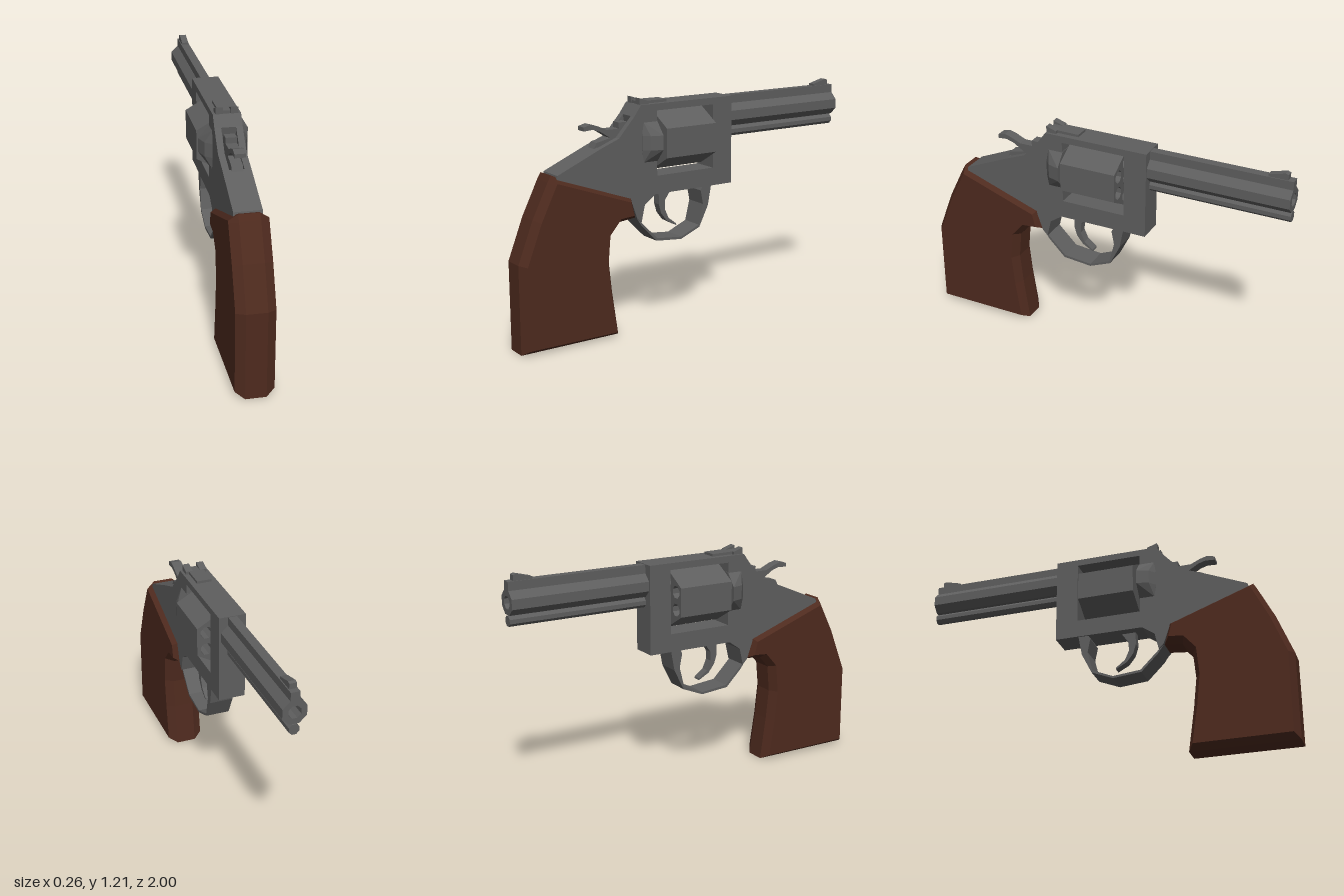
import * as THREE from 'three';
import { ConvexGeometry } from 'three/addons/geometries/ConvexGeometry.js';

const metal = new THREE.MeshStandardMaterial({ color: 0x5e5e5e, flatShading: true });
const wood = new THREE.MeshStandardMaterial({ color: 0x4e2a1e, flatShading: true });

const toPoints = (list) => list.map(([a, b]) => new THREE.Vector2(a, b));

// Regular polygon outline around (x, y)
function ring(x, y, r, sides, start = 0) {
  return Array.from({ length: sides }, (_, i) => {
    const a = start + (i / sides) * Math.PI * 2;
    return [x + Math.cos(a) * r, y + Math.sin(a) * r];
  });
}

function makeShape(outline, holes = []) {
  const shape = new THREE.Shape(toPoints(outline));
  holes.forEach((h) => shape.holes.push(new THREE.Path(toPoints(h))));
  return shape;
}

// Side profile in (z, y), given a width across x and centred on x
function plate(outline, width, x = 0, holes = []) {
  const geo = new THREE.ExtrudeGeometry(makeShape(outline, holes), { depth: width, bevelEnabled: false });
  return geo.translate(0, 0, -width / 2).rotateY(-Math.PI / 2).translate(x, 0, 0);
}

// Cross-section in (x, y), run along z
function bar(outline, z0, z1, holes = []) {
  const geo = new THREE.ExtrudeGeometry(makeShape(outline, holes), { depth: z1 - z0, bevelEnabled: false });
  return geo.translate(0, 0, z0);
}

export function createModel() {
  const model = new THREE.Group();
  model.name = 'revolver';
  const add = (name, geo, mat = metal) => {
    const mesh = new THREE.Mesh(geo, mat);
    mesh.name = name;
    model.add(mesh);
    return mesh;
  };

  // Frame: two side plates and a core that is cut back for the hammer slot
  const belly = [[0.79, 0.845], [0.366, 0.69], [0.334, 0.6], [0.307, 0.573], [0.286, 0.664], [0.22, 0.71], [-0.26, 0.71], [-0.26, 1.175]];
  const tail = [[0.54, 0.98], [0.785, 0.875]];
  const cylinderWindow = [[-0.14, 0.805], [0.21, 0.805], [0.21, 1.14], [-0.14, 1.14]];
  const side = [[0.305, 1.175], [0.345, 1.12], [0.435, 1.02], ...tail, ...belly];
  const core = [[0.305, 1.175], [0.345, 1.12], [0.33, 1.03], [0.49, 0.95], ...tail, ...belly];
  for (const s of [-1, 1]) add('frameSide', plate(side, 0.033, s * 0.0535, [cylinderWindow]));
  add('frameCore', plate(core, 0.074, 0, [cylinderWindow]));

  // Recoil shield flaring out behind the cylinder
  const shield = [];
  for (const s of [-1, 1]) {
    for (const [w, z] of [[0.125, 0.207], [0.105, 0.27], [0.072, 0.3]]) {
      for (const y of [0.947, 1.02]) shield.push(new THREE.Vector3(s * w, y, z));
    }
    for (const z of [0.207, 0.29]) {
      for (const y of [0.88, 1.088]) shield.push(new THREE.Vector3(s * 0.068, y, z));
    }
  }
  add('recoilShield', new ConvexGeometry(shield));

  // Six-sided cylinder with open chambers and a closed rear
  const hex = ring(0, 0.978, 0.151, 6, Math.PI / 2);
  const chambers = ring(0, 0.978, 0.093, 6, Math.PI / 2).map(([x, y]) => ring(x, y, 0.034, 8, Math.PI / 8));
  add('cylinder', bar(hex, -0.115, 0.16, chambers));
  add('cylinderRear', bar(hex, 0.16, 0.19));
  add('cylinderPin', bar(ring(0, 0.978, 0.028, 8, Math.PI / 8), -0.15, 0.22));

  // Octagonal barrel with bore, top rib and ejector rod
  add('barrel', bar(ring(0, 1.068, 0.065, 8, Math.PI / 8), -1, -0.255, [ring(0, 1.068, 0.034, 8, Math.PI / 8)]));
  add('boreEnd', bar(ring(0, 1.068, 0.04, 8, Math.PI / 8), -0.5, -0.48));
  add('barrelRib', bar([[-0.023, 1.12], [0.023, 1.12], [0.023, 1.172], [-0.023, 1.172]], -1, -0.255));
  add('ejectorRod', bar(ring(0, 0.977, 0.028, 8, Math.PI / 8), -1, -0.255));

  // Sights
  add('frontSight', plate([[-0.87, 1.165], [-0.87, 1.183], [-0.955, 1.205], [-0.97, 1.2], [-0.97, 1.165]], 0.036));
  add('rearSightBase', plate([[0.13, 1.17], [0.13, 1.188], [0.3, 1.19], [0.3, 1.17]], 0.08));
  for (const s of [-1, 1]) {
    add('rearSightPost', plate([[0.25, 1.175], [0.25, 1.19], [0.305, 1.208], [0.305, 1.175]], 0.037, s * 0.038));
  }

  // Hammer with curved spur
  add('hammer', plate([
    [0.33, 1.02], [0.36, 1.092], [0.41, 1.092], [0.41, 1.062], [0.48, 1.062], [0.53, 1.085], [0.57, 1.097], [0.61, 1.087],
    [0.61, 1.067], [0.56, 1.07], [0.52, 1.058], [0.46, 1.02], [0.54, 1.003], [0.555, 0.975], [0.49, 0.945],
  ], 0.056));

  // Trigger guard and trigger
  add('triggerGuard', plate([
    [0.334, 0.6], [0.3, 0.55], [0.21, 0.46], [0.056, 0.446], [-0.06, 0.494], [-0.115, 0.605], [-0.135, 0.712], [-0.08, 0.712],
    [-0.068, 0.69], [-0.083, 0.615], [-0.056, 0.506], [0.056, 0.458], [0.206, 0.473], [0.307, 0.574],
  ], 0.125));
  add('trigger', plate([
    [0.17, 0.715], [0.17, 0.64], [0.155, 0.59], [0.12, 0.545], [0.06, 0.513], [0.062, 0.523],
    [0.11, 0.56], [0.132, 0.61], [0.13, 0.66], [0.09, 0.715],
  ], 0.045));

  // Grip with chamfered edges
  const grip = new THREE.ExtrudeGeometry(makeShape([
    [0.812, 0.876], [0.83, 0.845], [0.917, 0.67], [1, 0.457], [1, 0], [0.445, 0], [0.478, 0.23], [0.495, 0.39],
    [0.482, 0.53], [0.43, 0.59], [0.334, 0.6], [0.36, 0.715],
  ]), { depth: 0.104, bevelThickness: 0.045, bevelSize: 0.028, bevelOffset: -0.028, bevelSegments: 1 });
  add('grip', grip.translate(0, 0, -0.052).rotateY(-Math.PI / 2), wood);

  return model;
}
